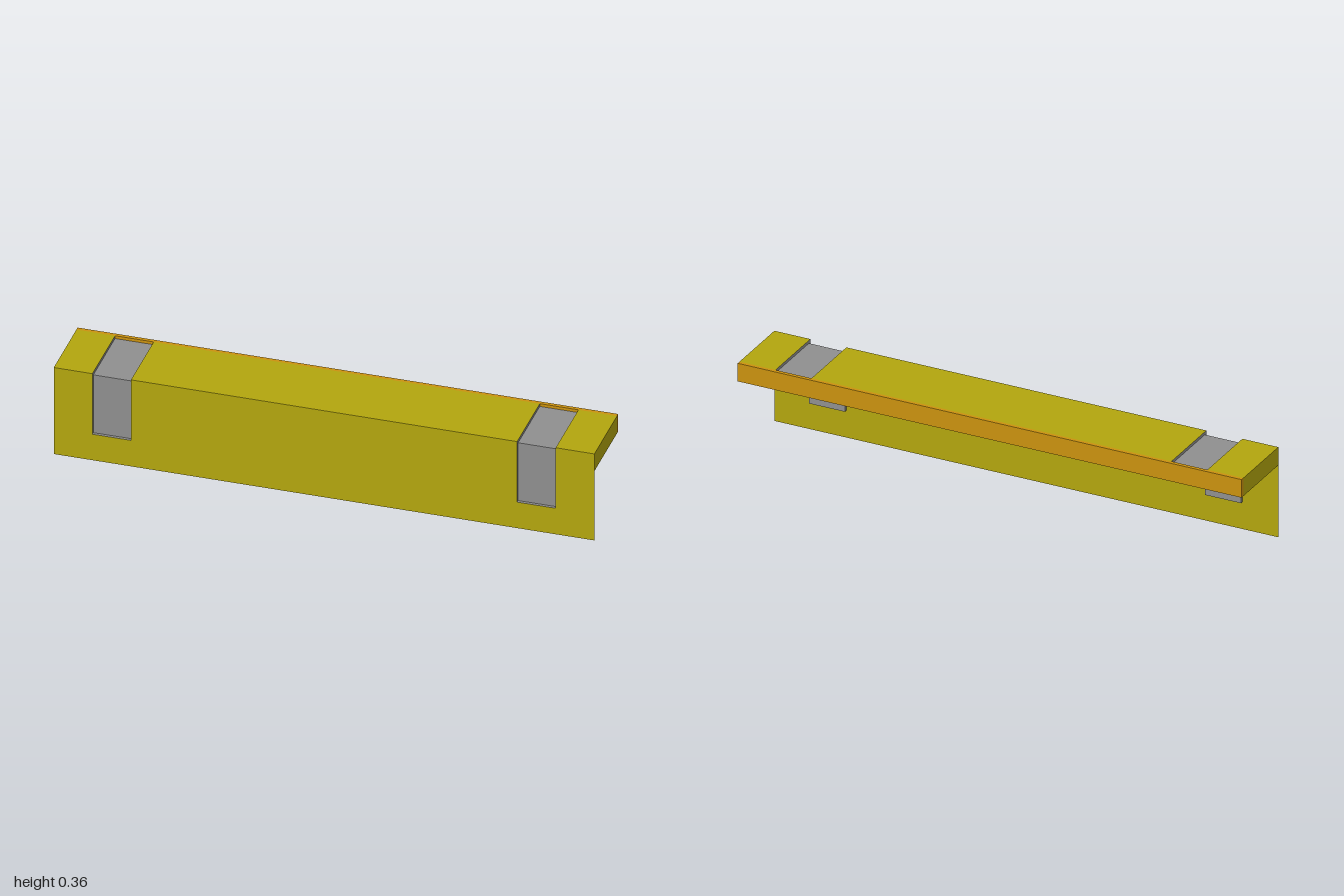
import * as THREE from 'three';

export function createModel() {
  const yellow = new THREE.MeshStandardMaterial({ name: 'yellow', color: 0xb3a60e, side: THREE.DoubleSide });
  const orange = new THREE.MeshStandardMaterial({ name: 'orange', color: 0xcb920f });
  const grey = new THREE.MeshStandardMaterial({ name: 'grey', color: 0x8f8f8f, side: THREE.DoubleSide });

  const u = 1 / 7;
  const top = 2.5 * u, rim = 2 * u, front = u, back = -0.9 * u; // main levels
  const clipIn = 5 * u, clipOut = 6 * u, clipLow = 0.75 * u, deep = 0.08 * u;

  const model = new THREE.Group();
  model.name = 'shelfCover';

  function add(parent, name, geometry, material) {
    const mesh = new THREE.Mesh(geometry, material);
    mesh.name = name;
    parent.add(mesh);
    return mesh;
  }
  const sheet = (points) => new THREE.ShapeGeometry(new THREE.Shape(points.map(([x, y]) => new THREE.Vector2(x, y))));
  const rect = (x0, x1, y0, y1) => sheet([[x0, y0], [x1, y0], [x1, y1], [x0, y1]]);
  // Level sheet facing up, spanning x0..x1 and z0..z1
  const level = (x0, x1, z0, z1, y) => rect(x0, x1, -z1, -z0).rotateX(-Math.PI / 2).translate(0, y, 0);

  // Front sheet, notched where the recesses wrap over the edge
  add(model, 'frontSheet', sheet([
    [-1, 0], [1, 0], [1, top],
    [clipOut, top], [clipOut, clipLow], [clipIn, clipLow], [clipIn, top],
    [-clipIn, top], [-clipIn, clipLow], [-clipOut, clipLow], [-clipOut, top],
    [-1, top],
  ]).translate(0, 0, front), yellow);

  // Top sheet, in three lengths between the recesses
  [[-1, -clipOut], [-clipIn, clipIn], [clipOut, 1]].forEach(([x0, x1]) =>
    add(model, 'topSheet', level(x0, x1, back, front, top), yellow));

  // End caps
  for (const s of [-1, 1]) {
    const cap = rect(-front, -back, rim, top).rotateY(Math.PI / 2).translate(s, 0, 0);
    add(model, s > 0 ? 'leftEnd' : 'rightEnd', cap, yellow);
  }

  // Rear lip
  const lip = add(model, 'rearLip', new THREE.BoxGeometry(2, top - rim, back + front), orange);
  lip.position.set(0, (top + rim) / 2, (back - front) / 2);

  // Recessed channels running down the front and over the top
  for (const s of [-1, 1]) {
    const channel = new THREE.Group();
    channel.name = s > 0 ? 'leftChannel' : 'rightChannel';
    const x0 = Math.min(s * clipIn, s * clipOut), x1 = x0 + u;
    const inner = front - deep, under = top - deep;
    add(channel, 'frontFloor', rect(x0, x1, clipLow, under).translate(0, 0, inner), grey);
    add(channel, 'topFloor', level(x0, x1, back, inner, under), grey);
    add(channel, 'bottomLedge', level(x0, x1, inner, front, clipLow), grey);
    for (const x of [x0, x1]) {
      const wall = sheet([
        [front, clipLow], [front, top], [back, top],
        [back, under], [inner, under], [inner, clipLow],
      ]).rotateY(-Math.PI / 2).translate(x, 0, 0);
      add(channel, 'sideWall', wall, grey);
    }
    model.add(channel);
  }
  return model;
}
